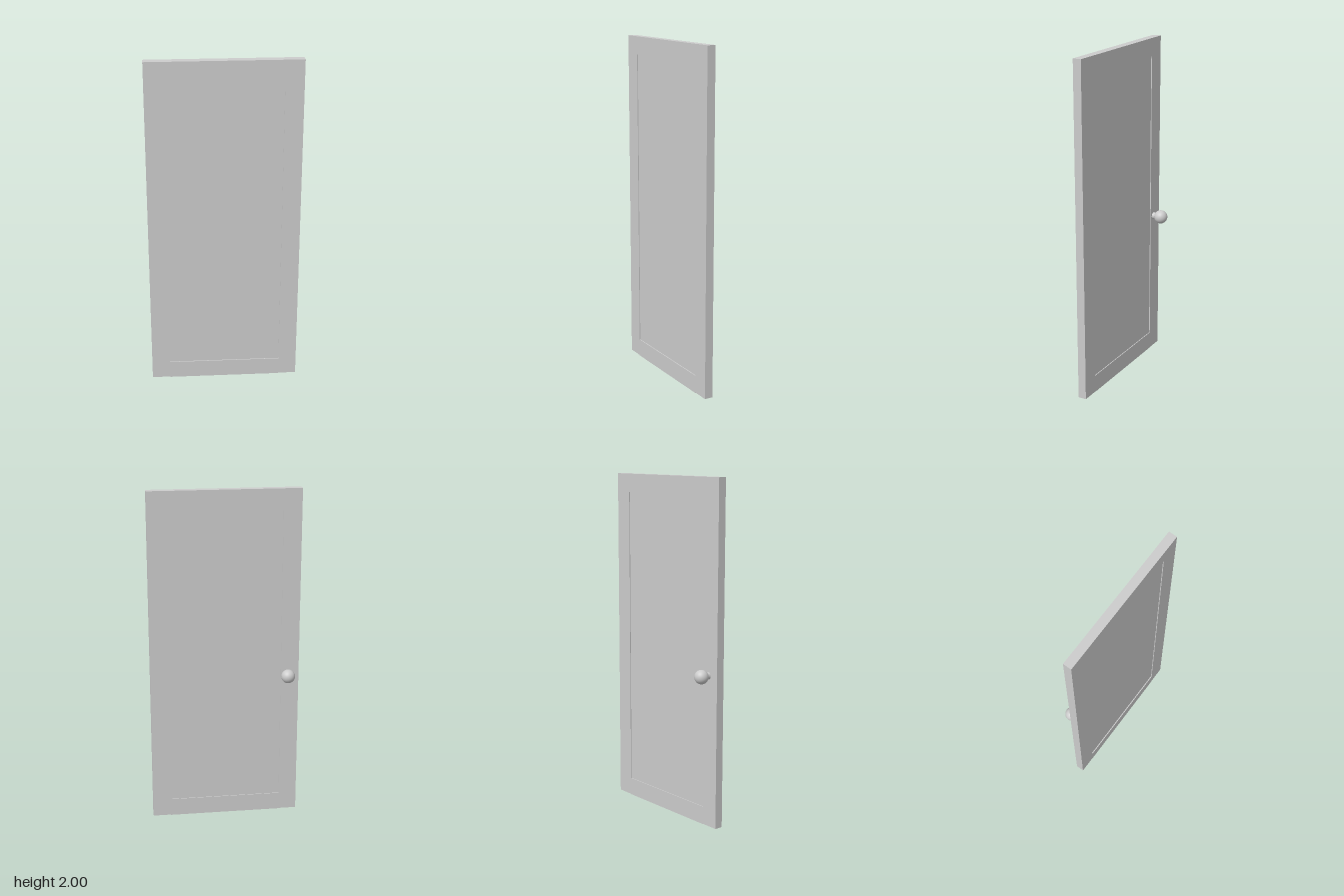
import * as THREE from 'three';

export function createModel() {
  const group = new THREE.Group();
  group.name = 'door';
  const material = new THREE.MeshStandardMaterial({ color: 0xcccccc });

  const W = 0.885, H = 2, T = 0.05, zMid = 0.045;
  const frame = 0.107, recess = 0.005, proud = 0.001;

  const add = (name, geometry, x, y, z) => {
    const mesh = new THREE.Mesh(geometry, material);
    mesh.name = name;
    mesh.position.set(x, y, z);
    group.add(mesh);
    return mesh;
  };

  // Upright stiles, a hair above the floor
  for (const [name, side] of [['leftStile', 1], ['rightStile', -1]]) {
    add(name, new THREE.BoxGeometry(frame, H - 0.002, T),
      side * (W - frame) / 2, H / 2 + 0.001, zMid);
  }

  // Rails between the stiles; the bottom one stands slightly proud in front
  const innerW = W - 2 * frame;
  add('topRail', new THREE.BoxGeometry(innerW, frame, T), 0, H - frame / 2, zMid);
  add('bottomRail', new THREE.BoxGeometry(innerW, frame, T + proud), 0, frame / 2, zMid + proud / 2);

  // Panel recessed on both faces
  add('panel', new THREE.BoxGeometry(innerW, H - 2 * frame, T - 2 * recess), 0, H / 2, zMid);

  // Round knob on a short stem, on the back
  const knobX = -0.37, knobY = 0.895;
  add('knobStem', new THREE.CylinderGeometry(0.021, 0.021, 0.05, 32), knobX, knobY, 0.005)
    .rotation.x = Math.PI / 2;
  add('knob', new THREE.SphereGeometry(0.041, 32, 24), knobX, knobY, -0.032);

  return group;
}
